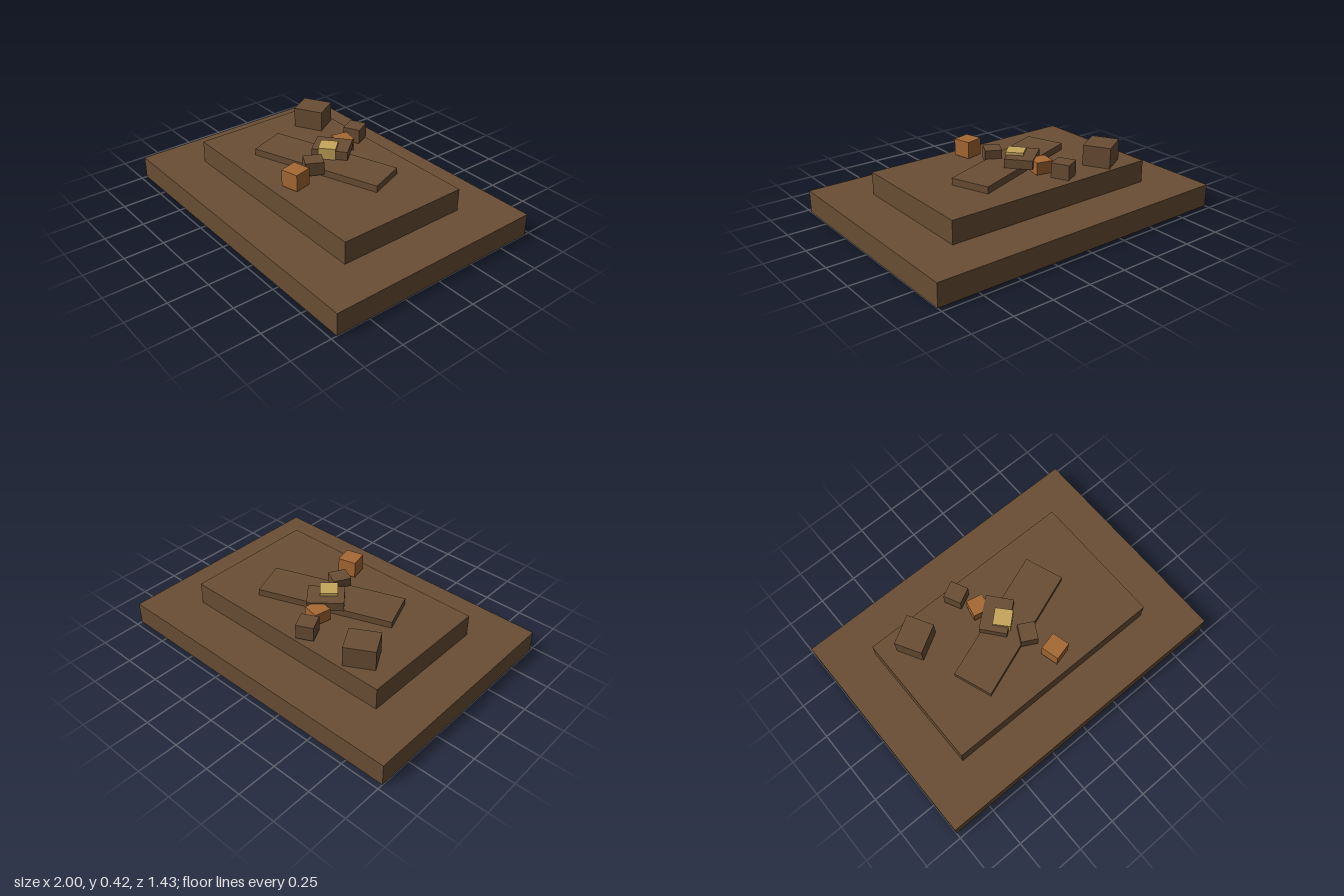
import * as THREE from 'three';

const brown = new THREE.MeshStandardMaterial({ name: 'brown earth', color: 0x6a4e34 });
const copper = new THREE.MeshStandardMaterial({ name: 'copper orange', color: 0xa66834 });
const gold = new THREE.MeshStandardMaterial({ name: 'gold', color: 0xc6a65a });

export function createModel() {
  const model = new THREE.Group();
  model.name = 'steppedPlatform';

  // A box turned about the vertical axis, given by its bottom and top heights
  function block(name, material, x, z, width, depth, bottom, top, turn = 0) {
    const mesh = new THREE.Mesh(new THREE.BoxGeometry(width, top - bottom, depth), material);
    mesh.name = name;
    mesh.position.set(x, (bottom + top) / 2, z);
    mesh.rotation.y = turn;
    model.add(mesh);
  }

  // Stepped base
  block('lowerTier', brown, 0, 0, 2, 1.428, 0, 0.143);
  block('upperTier', brown, 0, 0, 1.428, 0.857, 0.143, 0.286);
  block('slab', brown, 0, 0, 0.857, 0.25, 0.286, 0.329, 0.35);

  // Chest with its clasp standing proud of one face
  block('chest', brown, -0.03, -0.083, 0.222, 0.171, 0.329, 0.385, 0.69);
  block('clasp', gold, -0.016, -0.04, 0.107, 0.11, 0.329, 0.402, 0.73);

  // Loose blocks scattered around
  block('largeBlock', brown, -0.488, -0.287, 0.19, 0.173, 0.286, 0.417, 0.515);
  block('backBlock', brown, -0.129, -0.347, 0.108, 0.114, 0.3, 0.393, 0.455);
  block('frontBlock', brown, 0.043, 0.12, 0.105, 0.114, 0.3, 0.383, -0.49);
  block('backCopperBlock', copper, -0.075, -0.203, 0.106, 0.106, 0.3, 0.377, -0.21);
  block('frontCopperBlock', copper, 0.104, 0.297, 0.114, 0.114, 0.3, 0.406, 0.24);

  return model;
}
